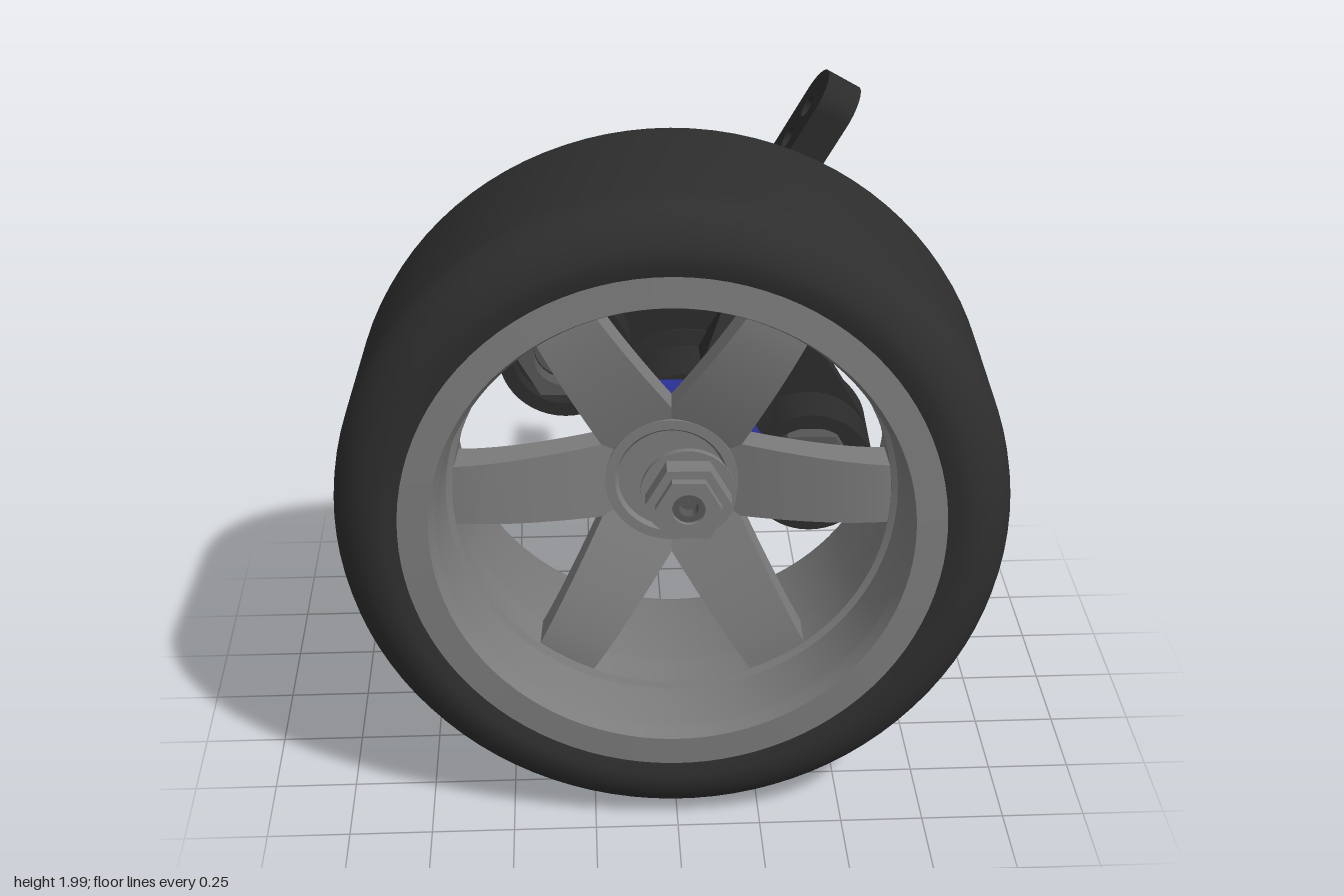
import * as THREE from 'three';
import { toCreasedNormals } from 'three/addons/utils/BufferGeometryUtils.js';

const mat = (name, color, side = THREE.FrontSide) => {
  const m = new THREE.MeshStandardMaterial({ color, side });
  m.name = name;
  return m;
};
const V2 = ([x, y]) => new THREE.Vector2(x, y);

export function createModel() {
  const rubber = mat('tyre rubber', 0x2e2e2e);
  const grey = mat('wheel grey', 0x7c7c7c);
  const black = mat('knuckle black', 0x2b2b2b, THREE.DoubleSide);
  const darkGrey = mat('fitting grey', 0x565656);
  const blue = mat('hex blue', 0x2a3096);
  const silver = mat('pin silver', 0xb4b4b4);

  const model = new THREE.Group();
  model.name = 'wheelAssembly';
  // Wheel axis leans slightly off z
  const wheel = new THREE.Group();
  wheel.name = 'wheel';
  wheel.position.set(0, 1, 0.3);
  wheel.rotation.set(-0.035, -0.04, 0);
  model.add(wheel);

  const add = (parent, name, geo, material, x = 0, y = 0, z = 0) => {
    const m = new THREE.Mesh(geo, material);
    m.name = name;
    m.position.set(x, y, z);
    parent.add(m);
    return m;
  };
  // Turned part about z; the profile is [radius, z], counter-clockwise
  const turn = (pts, seg = 48, start = 0, len = Math.PI * 2, crease = 0.6) =>
    toCreasedNormals(new THREE.LatheGeometry(pts.map(V2), seg, start, len).rotateX(Math.PI / 2), crease);
  const extrude = (shape, depth, z0 = 0, curveSegments = 12) =>
    toCreasedNormals(new THREE.ExtrudeGeometry(shape, { depth, bevelEnabled: false, curveSegments }).translate(0, 0, z0), 0.5);
  const hexRing = (r, hole, depth, z0) => {
    const pts = [];
    for (let i = 0; i < 6; i++) pts.push(new THREE.Vector2(r * Math.cos(i * Math.PI / 3), r * Math.sin(i * Math.PI / 3)));
    const s = new THREE.Shape(pts);
    if (hole) s.holes.push(new THREE.Path().absarc(0, 0, hole, 0, Math.PI * 2, true));
    return extrude(s, depth, z0);
  };

  // Tyre with rounded shoulders
  const tyre = [[0.74, -0.395], [0.79, -0.405]];
  for (const side of [-1, 1]) {
    for (let i = 0; i <= 8; i++) {
      const a = (side < 0 ? i - 8 : i) * Math.PI / 16;
      tyre.push([0.83 + 0.157 * Math.cos(a), side * 0.26 + 0.157 * Math.sin(a)]);
    }
  }
  tyre.push([0.79, 0.405], [0.74, 0.395]);
  add(wheel, 'tyre', turn(tyre, 96), rubber);

  // Rim barrel with front and rear flanges
  add(wheel, 'rim', turn([
    [0.69, -0.405], [0.79, -0.405], [0.79, 0.405], [0.7, 0.41], [0.685, 0.375], [0.68, 0.36],
    [0.668, 0.18], [0.65, 0.17], [0.645, 0.05], [0.66, 0.04], [0.68, -0.375], [0.69, -0.405],
  ], 96), grey);

  // Six arched spokes, wider towards the hub
  const side = new THREE.Shape();
  side.moveTo(0.665, 0.04);
  side.lineTo(0.665, 0.165);
  side.quadraticCurveTo(0.48, 0.18, 0.14, 0.05);
  side.lineTo(0.14, -0.05);
  side.quadraticCurveTo(0.48, 0.08, 0.665, 0.04);
  const spoke = new THREE.ExtrudeGeometry(side, { depth: 1, bevelEnabled: false, curveSegments: 12 }).translate(0, 0, -0.5);
  const p = spoke.attributes.position;
  for (let i = 0; i < p.count; i++) {
    const t = (0.665 - p.getX(i)) / 0.525;
    p.setZ(i, p.getZ(i) * (0.185 + 0.065 * t));
  }
  const spokeGeo = toCreasedNormals(spoke.rotateX(Math.PI / 2), 0.5);
  for (let i = 0; i < 6; i++) add(wheel, 'spoke', spokeGeo, grey).rotation.z = i * Math.PI / 3;
  add(wheel, 'hub', turn([[0.001, -0.12], [0.19, -0.12], [0.2, 0.075], [0.17, 0.075], [0.16, 0.06], [0.001, 0.06]]), grey);

  // Axle line sits a little off the wheel centre
  const axle = new THREE.Group();
  axle.name = 'axleAndKnuckle';
  axle.position.set(0.05, -0.045, 0);
  wheel.add(axle);
  add(axle, 'washer', turn([[0.001, 0.05], [0.145, 0.05], [0.145, 0.08], [0.001, 0.08]]), grey);
  add(axle, 'wheelNut', hexRing(0.13, 0.05, 0.07, 0.08), grey);
  add(axle, 'wheelNutCollar', hexRing(0.1, 0.05, 0.03, 0.15), grey);
  add(axle, 'axleTip', turn([[0.001, 0.06], [0.05, 0.06], [0.05, 0.165], [0.03, 0.165], [0.03, 0.12], [0.001, 0.12]], 24), darkGrey);
  add(axle, 'hexAdapter', hexRing(0.25, 0, 0.17, -0.285), blue);

  // Bearing housing, open at the rear
  add(axle, 'bearingHousing', turn([
    [0.16, -0.87], [0.2, -0.87], [0.2, -0.83], [0.25, -0.83], [0.25, -0.68], [0.285, -0.67], [0.285, -0.51],
    [0.235, -0.5], [0.235, -0.28], [0.001, -0.28], [0.001, -0.65], [0.16, -0.65], [0.16, -0.87],
  ], 64), black);
  add(axle, 'driveCup', turn([[0.07, -0.83], [0.11, -0.83], [0.11, -0.65], [0.07, -0.65], [0.07, -0.83]], 32), black);
  const link = Math.atan2(-0.235, 0.4);
  add(axle, 'crossBar', new THREE.BoxGeometry(0.36, 0.035, 0.06), black, 0, 0, -0.83).rotation.z = link;
  add(axle, 'drivePin', new THREE.BoxGeometry(0.09, 0.045, 0.05), silver, 0, 0, -0.84).rotation.z = link;

  // Two hollow bosses with notched, domed rear sockets
  for (const [name, x, y, z] of [['rightBoss', -0.385, 0.24, -0.41], ['leftBoss', 0.41, -0.225, -0.5]]) {
    const boss = new THREE.Group();
    boss.name = name;
    boss.position.set(x, y, z);
    axle.add(boss);
    add(boss, 'bossSleeve', turn([
      [0.1, -0.37], [0.21, -0.37], [0.21, 0], [0.165, 0], [0.165, -0.06], [0.1, -0.06], [0.1, -0.37],
    ]), black);
    for (const a of [0, Math.PI]) {
      add(boss, 'socketLip', turn([
        [0.1, -0.37], [0.1, -0.46], [0.125, -0.48], [0.155, -0.465], [0.185, -0.435], [0.204, -0.4], [0.21, -0.37],
      ], 24, a + 0.35, Math.PI - 0.7), black).rotation.z = link + Math.PI / 2;
    }
    add(boss, 'hexInsert', hexRing(0.155, 0.1, 0.06, -0.055), darkGrey);
    add(boss, 'insertSeat', hexRing(0.12, 0.06, 0.03, -0.1), darkGrey);
  }

  // Rib plate and thicker web joining bosses and housing
  const hole = (shape, x, y, r) => shape.holes.push(new THREE.Path().absarc(x, y, r, 0, Math.PI * 2, true));
  const rib = new THREE.Shape([
    [-0.4, 0.44], [0.23, 0.45], [0.29, 0.4], [0.6, -0.12], [0.57, -0.25], [0.4, -0.4], [0.2, -0.29], [0, -0.27],
    [-0.25, 0], [-0.55, 0.13], [-0.55, 0.32],
  ].map(V2));
  hole(rib, -0.385, 0.24, 0.105);
  hole(rib, 0.41, -0.225, 0.105);
  hole(rib, 0, 0, 0.17);
  add(axle, 'ribPlate', extrude(rib, 0.07, -0.755), black);
  const web = new THREE.Shape([
    [-0.36, 0.44], [0.08, 0.44], [0.2, 0.17], [0, 0.2], [-0.17, 0.08], [-0.21, -0.05], [-0.26, 0.09], [-0.27, 0.33],
  ].map(V2));
  add(axle, 'bodyWeb', extrude(web, 0.3, -0.82), black);
  const bridge = new THREE.Shape([[0.17, -0.05], [0.3, -0.06], [0.3, -0.34], [0.08, -0.24]].map(V2));
  add(axle, 'lowerBridge', extrude(bridge, 0.3, -0.85), black);

  // Cranked steering arm: flat plate with two holes
  const arm = new THREE.Shape();
  arm.moveTo(-0.1, -0.1);
  arm.lineTo(-0.1, -0.56);
  arm.lineTo(0.03, -0.58);
  arm.lineTo(0.22, -0.735);
  arm.lineTo(0.73, -0.74);
  arm.absarc(0.73, -0.635, 0.105, -Math.PI / 2, Math.PI / 2, false);
  arm.lineTo(0.45, -0.53);
  arm.lineTo(0, -0.1);
  hole(arm, 0.7, -0.635, 0.036);
  hole(arm, 0.58, -0.635, 0.036);
  const basis = new THREE.Matrix4().makeBasis(
    new THREE.Vector3(0.5, 0.866, 0), new THREE.Vector3(0, 0, 1), new THREE.Vector3(0.866, -0.5, 0));
  add(model, 'steeringArm', extrude(arm, 0.12, -0.06).applyMatrix4(basis), black, 0.185, 1.18, 0);

  return model;
}
